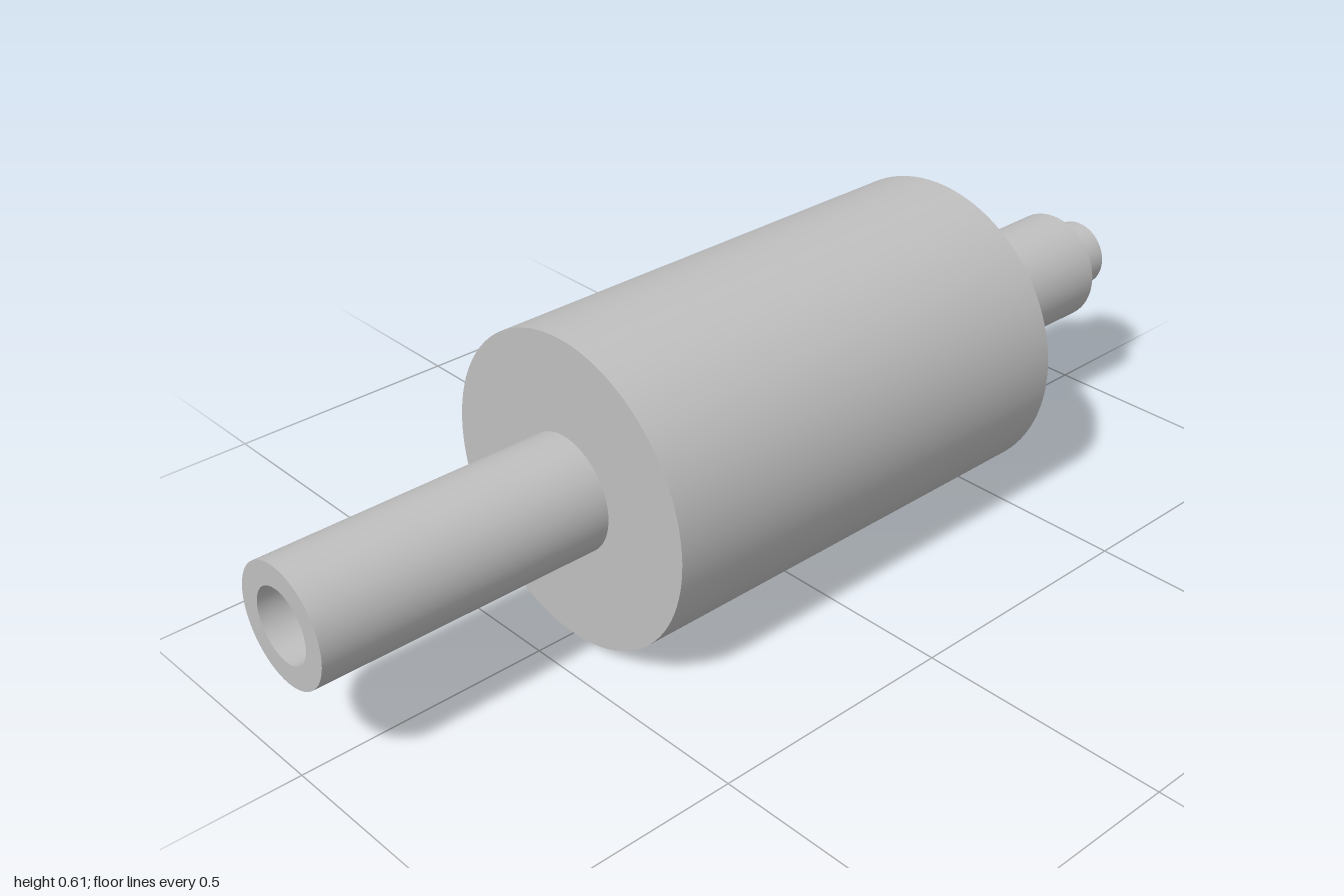
import * as THREE from 'three';
import { mergeGeometries } from 'three/addons/utils/BufferGeometryUtils.js';

const AXIS_Y = 0.304;
const BODY_R = 0.304, SHAFT_R = 0.114, PIN_R = 0.07;
const BACK = -1, SHAFT_BACK = -0.91, BODY_BACK = -0.53, BODY_FRONT = 0.42, FRONT = 1;
const BORE_END = 0.82;

// Turns a [radius, z] profile, listed back to front, with sharp edges between its segments
function turned(name, profile, material) {
  const bands = [];
  for (let i = 1; i < profile.length; i++) {
    const pair = [profile[i - 1], profile[i]].map(([r, z]) => new THREE.Vector2(r, z));
    bands.push(new THREE.LatheGeometry(pair, 96));
  }
  const geometry = mergeGeometries(bands);
  geometry.rotateX(Math.PI / 2);
  const mesh = new THREE.Mesh(geometry, material);
  mesh.name = name;
  return mesh;
}

export function createModel() {
  const steel = new THREE.MeshStandardMaterial({ color: 0xc0c0c0 });
  steel.name = 'steel grey';

  const roller = new THREE.Group();
  roller.name = 'roller';
  roller.position.y = AXIS_Y;

  roller.add(
    // Pin at the back end
    turned('pin', [[0, BACK], [PIN_R, BACK], [PIN_R, SHAFT_BACK]], steel),
    // Back shaft with the shoulder around the pin
    turned('backShaft', [[PIN_R, SHAFT_BACK], [SHAFT_R, SHAFT_BACK], [SHAFT_R, BODY_BACK]], steel),
    // Wide drum
    turned('drum', [
      [SHAFT_R, BODY_BACK], [BODY_R, BODY_BACK], [BODY_R, BODY_FRONT], [SHAFT_R, BODY_FRONT],
    ], steel),
    // Front shaft with a blind bore that takes the pin of the next roller
    turned('frontShaft', [
      [SHAFT_R, BODY_FRONT], [SHAFT_R, FRONT], [PIN_R, FRONT], [PIN_R, BORE_END], [0, BORE_END],
    ], steel),
  );

  const model = new THREE.Group();
  model.name = 'rollerModel';
  model.add(roller);
  return model;
}
